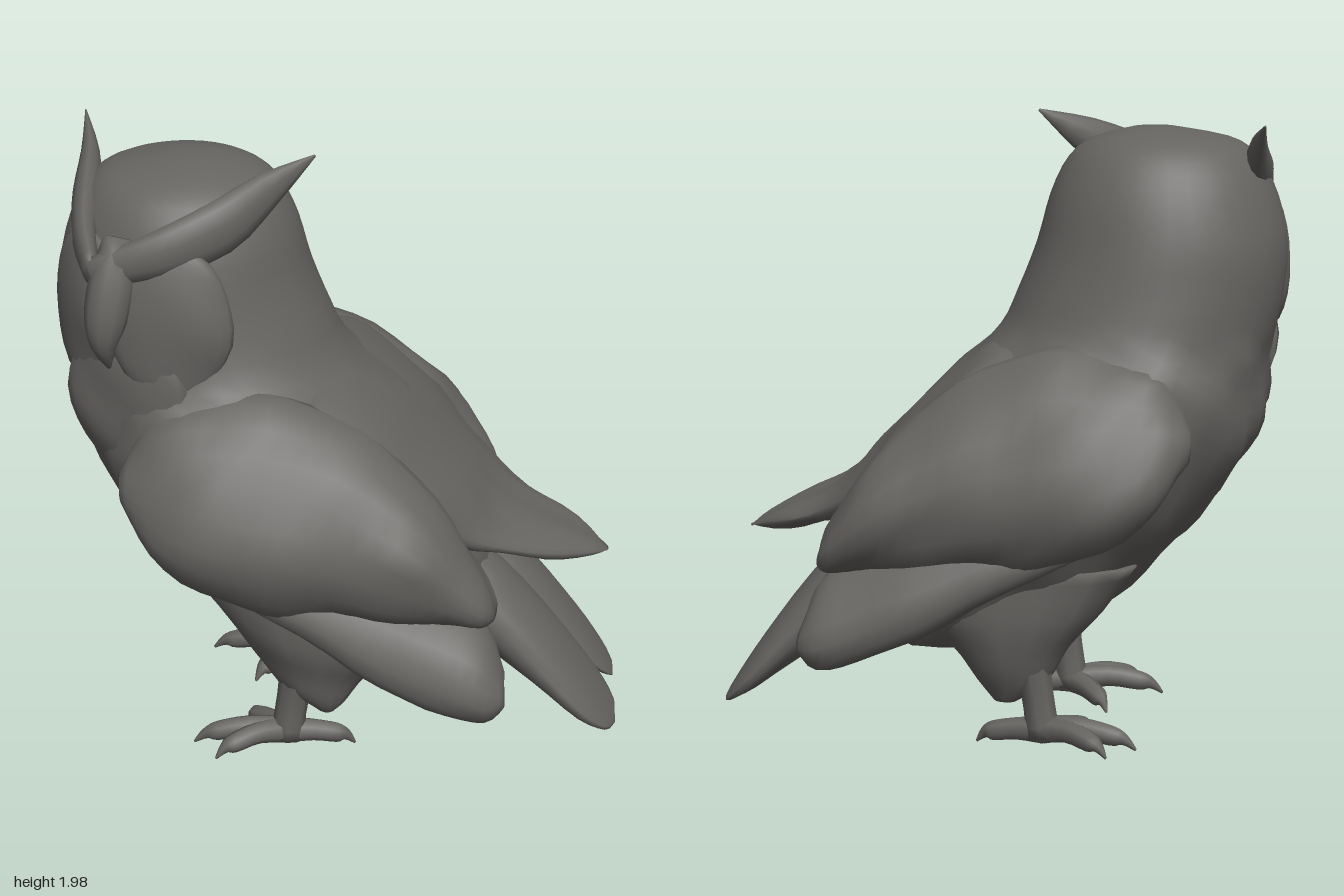
import * as THREE from 'three';

const V = (x, y, z) => new THREE.Vector3(x, y, z);
const plumage = new THREE.MeshStandardMaterial({ color: 0x666461 });
plumage.name = 'plumage grey';

// Catmull-Rom interpolation between rows of numbers
function smoothRows(rows, steps) {
  const out = [], n = rows.length - 1;
  for (let i = 0; i < n; i++) {
    const [a, b, c, d] = [Math.max(i - 1, 0), i, i + 1, Math.min(i + 2, n)].map(k => rows[k]);
    for (let s = 0; s < steps; s++) {
      const t = s / steps;
      out.push(b.map((v, k) => 0.5 * (2 * v + (c[k] - a[k]) * t + (2 * a[k] - 5 * v + 4 * c[k] - d[k]) * t * t
        + (3 * v - a[k] - 3 * c[k] + d[k]) * t * t * t)));
    }
  }
  out.push(rows[n]);
  return out;
}

// Closed skin over elliptical rings [centre, axisU, axisV]; U x V points along the loft
function loft(rings, sides, rule) {
  const pos = [], idx = [], n = rings.length;
  const add = p => { if (rule) rule(p); pos.push(p.x, p.y, p.z); };
  for (const [c, u, v] of rings) {
    for (let j = 0; j < sides; j++) {
      const a = j / sides * Math.PI * 2;
      add(c.clone().addScaledVector(u, Math.cos(a)).addScaledVector(v, Math.sin(a)));
    }
  }
  add(rings[0][0].clone());
  add(rings[n - 1][0].clone());
  for (let j = 0; j < sides; j++) {
    const k = (j + 1) % sides, e = (n - 1) * sides;
    for (let i = 0; i < n - 1; i++) {
      const a = i * sides + j, b = i * sides + k;
      idx.push(a, b, a + sides, b, b + sides, a + sides);
    }
    idx.push(n * sides, k, j, n * sides + 1, e + j, e + k);
  }
  const g = new THREE.BufferGeometry();
  g.setAttribute('position', new THREE.Float32BufferAttribute(pos, 3));
  g.setIndex(idx);
  g.computeVertexNormals();
  return g;
}

// Uneven feather lumps pushed along the normals
function ruffle(g, amount, keep = () => 1) {
  const p = g.attributes.position, n = g.attributes.normal;
  for (let i = 0; i < p.count; i++) {
    const x = p.getX(i), y = p.getY(i), z = p.getZ(i);
    const w = Math.sin(19 * x + 7 * y) * Math.sin(15 * y - 6 * z + 1) + 0.6 * Math.sin(31 * z + 23 * y + 11 * x);
    const d = amount * w * keep(x, y, z);
    p.setXYZ(i, x + n.getX(i) * d, y + n.getY(i) * d, z + n.getZ(i) * d);
  }
  g.computeVertexNormals();
  return g;
}

// Rows along y: [y, xMin, xMax, halfDepth, z]
const loftY = (rows, sides) => loft(smoothRows(rows, 3).map(([y, a, b, hz, z]) =>
  [V((a + b) / 2, y, z), V(0, 0, hz), V((b - a) / 2, 0, 0)]), sides);

// Rows along x: [x, yTop, yBottom, z, halfDepth]
const loftX = (rows, sides, side = 1, rule) => loft(smoothRows(rows, 3).map(([x, t, b, z, hz]) =>
  [V(x, (t + b) / 2, z * side), V(0, (t - b) / 2, 0), V(0, 0, hz)]), sides, rule);

// Tapering limb along points [x, y, z, radius], flattened by a factor
function taper(points, sides = 8, flat = 1) {
  const rows = smoothRows(points, 3);
  const rings = rows.map((r, i) => {
    const a = rows[Math.max(i - 1, 0)], b = rows[Math.min(i + 1, rows.length - 1)];
    const dir = V(b[0] - a[0], b[1] - a[1], b[2] - a[2]).normalize();
    const ref = Math.abs(dir.y) > 0.9 ? V(1, 0, 0) : V(0, 1, 0);
    const u = ref.addScaledVector(dir, -ref.dot(dir)).normalize();
    const v = dir.clone().cross(u);
    return [V(r[0], r[1], r[2]), u.multiplyScalar(r[3]), v.multiplyScalar(r[3] * flat)];
  });
  return loft(rings, sides);
}

export function createModel() {
  const owl = new THREE.Group();
  owl.name = 'owl';
  const add = (name, geometry, parent = owl) => {
    const m = new THREE.Mesh(geometry, plumage);
    m.name = name;
    parent.add(m);
    return m;
  };

  // Torso and head in one skin; the crown and nape stay smooth
  add('bodyAndHead', ruffle(loftY([
    [0.32, -0.2, 0.36, 0.26, 0], [0.36, -0.25, 0.44, 0.33, 0], [0.45, -0.35, 0.48, 0.39, 0],
    [0.6, -0.5, 0.5, 0.46, 0], [0.75, -0.64, 0.49, 0.52, 0], [0.9, -0.75, 0.4, 0.56, 0],
    [1.05, -0.81, 0.29, 0.57, 0], [1.2, -0.83, 0.16, 0.52, 0], [1.33, -0.85, 0.02, 0.43, 0],
    [1.45, -0.875, -0.04, 0.395, 0], [1.6, -0.885, -0.1, 0.37, 0.005], [1.75, -0.85, -0.14, 0.335, 0.01],
    [1.87, -0.79, -0.2, 0.27, 0.01], [1.93, -0.7, -0.28, 0.18, 0], [1.96, -0.53, -0.4, 0.06, 0]], 36),
  0.012, (x, y) => (y < 1.3 ? 1 : 0.1)));

  // Back feathers spread to the wings and narrow to a point over the tail
  add('backFeathers', ruffle(loftX([
    [-0.2, 1.27, 1.15, 0, 0.36], [-0.05, 1.33, 1.05, 0, 0.48], [0.12, 1.23, 0.92, 0, 0.55],
    [0.28, 1.08, 0.8, 0, 0.5], [0.4, 0.95, 0.73, 0, 0.39], [0.5, 0.84, 0.7, 0, 0.3],
    [0.65, 0.755, 0.66, 0, 0.21], [0.8, 0.685, 0.63, 0, 0.09], [0.86, 0.64, 0.625, 0, 0.02]], 26), 0.007));

  for (const side of [1, -1]) {
    const word = side > 0 ? 'left' : 'right';
    // Wings lean inward at the shoulder
    const lean = p => { p.z -= side * Math.max(0, p.y - 0.9) * 0.4; };
    add(word + 'WingCoverts', ruffle(loftX([
      [-0.64, 1.1, 1.0, 0.54, 0.04], [-0.56, 1.24, 0.86, 0.56, 0.1], [-0.4, 1.31, 0.74, 0.57, 0.135],
      [-0.2, 1.32, 0.68, 0.56, 0.15], [0, 1.26, 0.65, 0.54, 0.15], [0.2, 1.12, 0.63, 0.52, 0.16],
      [0.35, 0.95, 0.62, 0.5, 0.16], [0.45, 0.79, 0.62, 0.48, 0.13], [0.49, 0.68, 0.63, 0.48, 0.05]],
    20, side, lean), 0.009));

    // Flight feathers slope outward towards the tip
    const splay = p => { p.z -= side * Math.max(0, p.y - 0.4) * 0.42; };
    add(word + 'FlightFeathers', ruffle(loftX([
      [-0.42, 0.81, 0.75, 0.68, 0.03], [-0.1, 0.82, 0.6, 0.65, 0.09], [0.15, 0.76, 0.45, 0.62, 0.12],
      [0.35, 0.69, 0.365, 0.605, 0.12], [0.47, 0.61, 0.335, 0.6, 0.105], [0.53, 0.48, 0.39, 0.6, 0.06]],
    16, side, splay), 0.005));

    // Tail lobes overlap in the middle and droop at the sides
    const droop = p => { p.y -= 0.4 * p.z * p.z; };
    add(word + 'TailLobe', loftX([
      [0.25, 0.78, 0.42, 0.13, 0.16], [0.45, 0.7, 0.38, 0.14, 0.16], [0.62, 0.52, 0.275, 0.15, 0.175],
      [0.77, 0.32, 0.175, 0.16, 0.175], [0.86, 0.185, 0.125, 0.155, 0.13], [0.895, 0.125, 0.105, 0.14, 0.06]],
    18, side, droop));

    // Feathered thigh
    add(word + 'Thigh', ruffle(loftY([
      [0.17, -0.08, -0.01, 0.04, 0.27 * side], [0.24, -0.18, 0.05, 0.085, 0.26 * side],
      [0.34, -0.25, 0.14, 0.14, 0.24 * side], [0.46, -0.35, 0.25, 0.18, 0.23 * side],
      [0.62, -0.46, 0.3, 0.16, 0.25 * side]], 16), 0.006));

    // Leg and foot with clawed toes
    const z = 0.28 * side;
    add(word + 'Leg', taper([[-0.12, 0.34, z, 0.07], [-0.15, 0.2, z, 0.052], [-0.17, 0.06, z, 0.055]]));
    for (const [dx, dz] of [[-0.3, 0.03], [-0.22, 0.13], [-0.14, -0.16], [0.22, -0.03]]) {
      const lift = dx < -0.2 ? 0.02 : 0;
      const at = (t, y, r) => [-0.17 + dx * t, y, z + side * dz * t, r];
      add(word + 'Toe', taper([at(0, 0.08, 0.045), at(0.4, 0.075 + lift, 0.036), at(0.75, 0.06 + lift, 0.032),
        at(0.88, 0.05 + lift, 0.018), at(1, 0.02 + lift, 0.004)], 7));
    }
  }

  // Face turned well to the bird's side
  const face = new THREE.Group();
  face.name = 'face';
  face.position.set(-0.48, 0, 0.02);
  face.rotation.y = -0.48;
  owl.add(face);
  for (const s of [1, -1]) {
    const disc = add('facialDisc', ruffle(new THREE.SphereGeometry(1, 20, 14).scale(0.19, 0.25, 0.06), 0.006), face);
    disc.position.set(0.15 * s, 1.54, 0.325);
    disc.rotation.set(-0.06, 0.45 * s, 0);
  }
  add('beak', taper([[0, 1.8, 0.36, 0.05], [0, 1.68, 0.41, 0.07], [0, 1.57, 0.45, 0.065],
    [0, 1.49, 0.465, 0.04], [0, 1.41, 0.44, 0.006]], 10), face);
  add('chin', ruffle(new THREE.SphereGeometry(1, 18, 14).scale(0.22, 0.26, 0.07).translate(0, 1.28, 0.345), 0.006), face);

  // Brows sweeping into ear tufts
  add('leftEarTuft', taper([[-0.73, 1.71, 0.39, 0.045], [-0.54, 1.76, 0.38, 0.075], [-0.36, 1.82, 0.3, 0.09],
    [-0.22, 1.91, 0.2, 0.06], [-0.08, 1.995, 0.12, 0.004]], 10, 0.6));
  add('rightEarTuft', taper([[-0.73, 1.71, 0.39, 0.045], [-0.77, 1.76, 0.24, 0.07], [-0.785, 1.82, 0.06, 0.085],
    [-0.8, 1.9, -0.12, 0.055], [-0.835, 1.99, -0.28, 0.004]], 10, 0.55));

  return owl;
}
